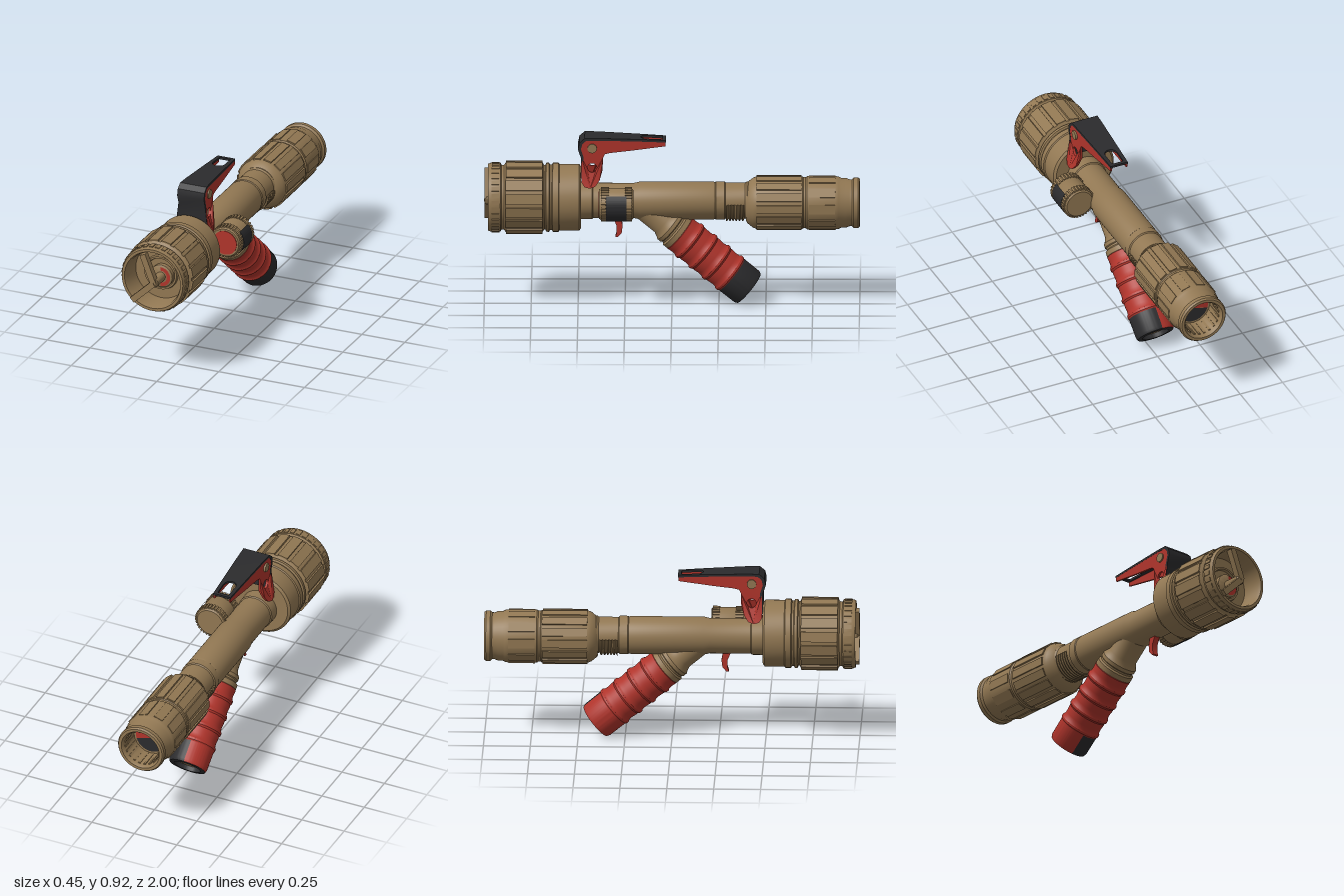
import * as THREE from 'three';
import { toCreasedNormals } from 'three/addons/utils/BufferGeometryUtils.js';

const mat = (name, color, side = THREE.FrontSide) => {
  const m = new THREE.MeshStandardMaterial({ color, side });
  m.name = name;
  return m;
};

export function createModel() {
  const tan = mat('tan', 0x927853), red = mat('red', 0xb0342b), black = mat('black', 0x2b2b2d);
  const model = new THREE.Group();
  const CX = -0.035;

  const add = (parent, name, geo, material, x = 0, y = 0, z = 0) => {
    const m = new THREE.Mesh(geo, material);
    m.name = name;
    m.position.set(x, y, z);
    parent.add(m);
    return m;
  };
  const lathe = (pts, start = 0, length = Math.PI * 2, segs = 48) => toCreasedNormals(
    new THREE.LatheGeometry(pts.map(([r, y]) => new THREE.Vector2(r, y)), segs, start, length), 0.6);
  // group whose local y runs along world z
  const axisGroup = (name, x, y) => {
    const g = new THREE.Group();
    g.name = name;
    g.position.set(x, y, 0);
    g.rotation.x = Math.PI / 2;
    model.add(g);
    return g;
  };
  // ring of blocks around a local y axis
  const blocks = (parent, name, count, r, from, to, w, h, material = tan) => {
    const geo = new THREE.BoxGeometry(w, to - from, h);
    for (let i = 0; i < count; i++) {
      const a = (i + 0.5) / count * Math.PI * 2;
      add(parent, name, geo, material, r * Math.sin(a), (from + to) / 2, r * Math.cos(a)).rotation.y = a;
    }
  };

  // front head: stepped drum with a recessed face
  const head = axisGroup('head', CX, 0.59);
  add(head, 'headShell', lathe([
    [0, 0.485], [0.165, 0.485], [0.178, 0.495], [0.178, 0.6], [0.184, 0.605], [0.184, 0.635], [0.174, 0.64],
    [0.174, 0.65], [0.184, 0.655], [0.184, 0.67], [0.172, 0.675], [0.172, 0.682], [0.187, 0.69], [0.187, 0.885],
    [0.172, 0.895], [0.172, 0.908], [0.184, 0.914], [0.184, 0.965], [0.178, 0.98], [0.163, 0.98], [0.155, 0.96],
    [0.15, 0.86], [0.098, 0.86], [0.094, 0.875], [0.084, 0.875], [0.08, 0.86], [0, 0.86]], 0, Math.PI * 2, 64), tan);
  blocks(head, 'headGripPad', 16, 0.187, 0.69, 0.885, 0.055, 0.014);
  blocks(head, 'headRimTooth', 32, 0.184, 0.92, 0.96, 0.022, 0.008);

  // nozzle centre with two spokes
  const core = axisGroup('nozzleCore', -0.025, 0.578);
  add(core, 'coreRing', lathe([[0.064, 0.855], [0.064, 0.885], [0.056, 0.89], [0, 0.89]]), tan);
  add(core, 'coreInsert', lathe([[0.055, 0.893], [0.035, 0.893]], 0, Math.PI), red);
  add(core, 'coreShaft', lathe([[0.026, 0.86], [0.026, 0.985], [0.018, 0.996], [0, 0.996]]), tan);
  add(core, 'corePin', new THREE.CylinderGeometry(0.008, 0.008, 0.01, 16), tan, 0, 0.996, 0);
  for (const [ex, ey] of [[-0.085, 0.738], [-0.145, 0.462]]) {
    const dx = ex + 0.022, dy = ey - 0.578;
    const spoke = add(model, 'spoke', new THREE.BoxGeometry(0.034, Math.hypot(dx, dy), 0.035), tan,
      (ex - 0.022) / 2, (ey + 0.578) / 2, 0.9825);
    spoke.rotation.z = Math.atan2(-dx, dy);
  }

  // main tube with collars and a threaded section
  const tube = axisGroup('mainTube', CX, 0.573);
  add(tube, 'tubeBody', lathe([
    [0.1, -0.44], [0.103, -0.4], [0.096, -0.39], [0.096, -0.285], [0.102, -0.28], [0.102, -0.235], [0.098, -0.23],
    [0.101, -0.22], [0.101, 0.17], [0.094, 0.2], [0.094, 0.42], [0.1, 0.425], [0.1, 0.5]]), tan);
  const thread = [];
  for (let i = 0; i < 6; i++) thread.push([0.097, -0.385 + i * 0.017], [0.109, -0.379 + i * 0.017], [0.109, -0.374 + i * 0.017]);
  add(tube, 'thread', lathe(thread, -1.6, 3.2, 32), tan);

  // rear coupling, hollow at the back
  const rear = axisGroup('rearCoupling', CX, 0.562);
  add(rear, 'couplingShell', lathe([
    [0, -0.87], [0.098, -0.87], [0.102, -0.985], [0.112, -1], [0.128, -1], [0.135, -0.99], [0.135, -0.968],
    [0.125, -0.958], [0.125, -0.945], [0.133, -0.925], [0.133, -0.9], [0.139, -0.888], [0.142, -0.87], [0.142, -0.72],
    [0.136, -0.712], [0.136, -0.7], [0.14, -0.695], [0.14, -0.45], [0.132, -0.43], [0.108, -0.4], [0.098, -0.395]]), tan);
  blocks(rear, 'couplingGripPad', 14, 0.139, -0.69, -0.45, 0.044, 0.014);
  blocks(rear, 'couplingBandPad', 10, 0.1385, -0.87, -0.73, 0.05, 0.012);
  blocks(rear, 'innerRib', 20, 0.1, -0.98, -0.87, 0.012, 0.008);
  add(rear, 'inletDiscUpper', lathe([[0, -0.873], [0.085, -0.873]], 1.3, 3.7), red);
  add(rear, 'inletDiscLower', lathe([[0, -0.873], [0.085, -0.873]], -1.28, 2.58), black);

  // side knob: knurled drum with a red front face
  const knob = axisGroup('sideKnob', 0.125, 0.595);
  add(knob, 'knobDrum', lathe([[0, 0.205], [0.075, 0.205], [0.086, 0.215], [0.086, 0.375], [0.078, 0.387], [0, 0.387]]), tan);
  add(knob, 'knobFace', lathe([[0.068, 0.385], [0.068, 0.391], [0, 0.391]]), red);
  blocks(knob, 'frontKnurl', 32, 0.086, 0.335, 0.378, 0.011, 0.011);
  blocks(knob, 'rearKnurl', 32, 0.086, 0.212, 0.25, 0.011, 0.011);
  add(knob, 'knobBand', lathe([[0.086, 0.24], [0.0925, 0.242], [0.0925, 0.35], [0.086, 0.352]], 0.2, 2.1), black);

  // rear-slanting hand grip; local y runs down the grip
  const grip = new THREE.Group();
  grip.name = 'handGrip';
  grip.position.set(-0.032, 0.4, -0.035);
  grip.rotation.x = -2.262;
  model.add(grip);
  add(grip, 'gripBranch', lathe([
    [0.08, -0.25], [0.08, -0.1], [0.092, -0.075], [0.1, -0.065], [0.1, -0.045], [0.094, -0.04], [0.094, -0.03],
    [0.105, -0.022], [0.105, 0.005], [0.09, 0.01]]), tan);
  const ribs = [[0.095, 0]];
  for (let i = 0; i < 4; i++) {
    const u = i * 0.092;
    ribs.push([0.106, u + 0.008], [0.103, u + 0.04], [0.105, u + 0.06], [0.112, u + 0.07], [0.112, u + 0.082], [0.105, u + 0.092]);
  }
  add(grip, 'gripSleeve', lathe(ribs), red);
  const cap = [[0.1, 0.355], [0.107, 0.362], [0.106, 0.47], [0.1, 0.485], [0.074, 0.487], [0.07, 0.46]];
  add(grip, 'gripCap', lathe(cap, -0.1, Math.PI + 0.37), black);
  add(grip, 'gripCapSide', lathe(cap.slice(0, 4), Math.PI + 0.27, Math.PI - 0.37), red);
  add(grip, 'gripCapRim', lathe(cap.slice(3), Math.PI + 0.27, Math.PI - 0.37), black);
  add(grip, 'gripPlug', lathe([[0.073, 0.462], [0, 0.462]]), tan);

  // top lever: tapering channel, flared where it straddles the tube
  const lever = new THREE.Group();
  lever.name = 'lever';
  model.add(lever);
  const taper = (geo) => {
    const p = geo.attributes.position;
    for (let i = 0; i < p.count; i++) {
      const y = p.getY(i), z = p.getZ(i);
      const w = 0.05 + 0.027 * (z - 0.03) / 0.46 + Math.max(0, 0.76 - y) * 0.33;
      p.setX(i, -0.026 + p.getX(i) * w);
    }
    geo.computeVertexNormals();
    return toCreasedNormals(geo, 0.6);
  };
  const shape = (pts) => new THREE.Shape(pts.map(([a, b]) => new THREE.Vector2(a, b)));
  const sideways = (s, depth, x) => taper(
    new THREE.ExtrudeGeometry(s, { depth, bevelEnabled: false, curveSegments: 20 }).rotateY(-Math.PI / 2).translate(x, 0, 0));
  const plate = shape([
    [0.48, 0.83], [0.497, 0.877], [0.488, 0.91], [0.462, 0.93], [0.4, 0.932], [0.035, 0.916], [0.035, 0.888],
    [0.22, 0.866], [0.33, 0.855], [0.358, 0.848], [0.367, 0.83], [0.37, 0.76], [0.385, 0.71], [0.408, 0.678],
    [0.436, 0.668], [0.465, 0.675], [0.482, 0.7]]);
  plate.holes.push(new THREE.Path().absarc(0.425, 0.775, 0.025, 0, Math.PI * 2, true));
  for (const x of [1, -0.82]) add(lever, 'leverSide', sideways(plate, 0.18, x), red);
  const strip = shape([
    [0.486, 0.72], [0.485, 0.83], [0.501, 0.877], [0.493, 0.913], [0.465, 0.937], [0.4, 0.937], [0.18, 0.928],
    [0.18, 0.916], [0.4, 0.924], [0.458, 0.923], [0.478, 0.904], [0.485, 0.877], [0.47, 0.83], [0.471, 0.72]]);
  add(lever, 'leverCover', sideways(strip, 2.02, 1.01), black);
  const frame = shape([[-1.01, 0.032], [1.01, 0.032], [1.01, 0.18], [-1.01, 0.18]]);
  const slot = new THREE.Path();
  slot.moveTo(-0.62, 0.05).lineTo(-0.62, 0.13).quadraticCurveTo(-0.55, 0.165, 0, 0.167)
    .quadraticCurveTo(0.55, 0.165, 0.62, 0.13).lineTo(0.62, 0.05).closePath();
  frame.holes.push(slot);
  const frameGeo = new THREE.ExtrudeGeometry(frame, { depth: 0.012, bevelEnabled: false }).rotateX(Math.PI / 2).translate(0, 0.928, 0);
  const fp = frameGeo.attributes.position;
  for (let i = 0; i < fp.count; i++) fp.setY(i, fp.getY(i) + (fp.getZ(i) - 0.18) * 0.05);
  add(lever, 'leverTip', taper(frameGeo), black);
  add(lever, 'leverBolt', new THREE.CylinderGeometry(0.025, 0.025, 0.164, 24), tan, -0.026, 0.882, 0.425).rotation.z = Math.PI / 2;

  // curved trigger under the tube
  const trigger = shape([
    [0.335, 0.52], [0.31, 0.475], [0.295, 0.44], [0.295, 0.4], [0.302, 0.378], [0.288, 0.378], [0.268, 0.4],
    [0.263, 0.44], [0.27, 0.475], [0.285, 0.52]]);
  add(model, 'trigger', toCreasedNormals(new THREE.ExtrudeGeometry(trigger, { depth: 0.034, bevelEnabled: false })
    .rotateY(-Math.PI / 2).translate(-0.01, 0, 0), 0.6), red);

  return model;
}
